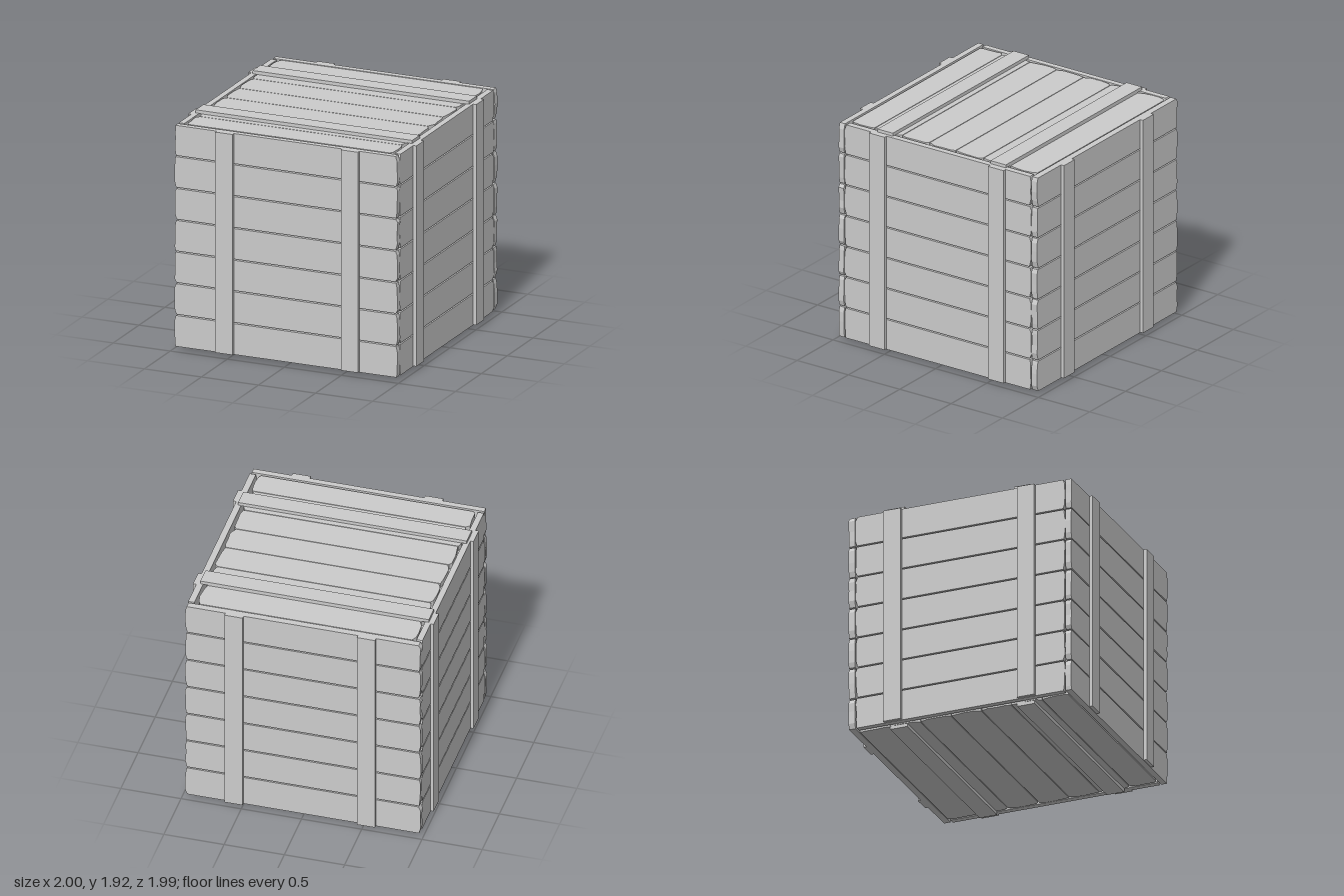
import * as THREE from 'three';

const material = new THREE.MeshStandardMaterial({ color: 0xcccccc, flatShading: true });

// Small seeded generator for the worn plank ends
let seed = 11;
function rand() {
  seed = (seed * 16807) % 2147483647;
  return seed / 2147483647;
}

// Plank lying in the XY plane with ragged ends, thickness along z
function plank(u0, u1, v0, v1, w0, w1, wear) {
  const h = v1 - v0;
  const stops = [0, 0.12 + 0.15 * rand(), 0.45 + 0.15 * rand(), 0.8 + 0.1 * rand(), 1];
  const cut = (i) => wear * (i === 0 || i === 4 ? 0.5 + 0.5 * rand() : 0.45 * rand());
  const pts = [];
  stops.forEach((t, i) => pts.push(new THREE.Vector2(u1 - cut(i), v0 + h * t)));
  for (let i = 4; i >= 0; i--) pts.push(new THREE.Vector2(u0 + cut(i), v0 + h * stops[i]));
  const geo = new THREE.ExtrudeGeometry(new THREE.Shape(pts), { depth: w1 - w0, bevelEnabled: false });
  geo.translate(0, 0, w0);
  return new THREE.Mesh(geo, material);
}

// Box given by its limits
function bar(u0, u1, v0, v1, w0, w1) {
  const geo = new THREE.BoxGeometry(u1 - u0, v1 - v0, w1 - w0);
  geo.translate((u0 + u1) / 2, (v0 + v1) / 2, (w0 + w1) / 2);
  return new THREE.Mesh(geo, material);
}

// Row of planks between the listed seams, plus two battens on the outer face
function panel(name, { u, seams, w, gap, wear, battens }) {
  const group = new THREE.Group();
  group.name = name;
  for (let i = 0; i < seams.length - 1; i++) {
    const lo = seams[i] + (i > 0 ? gap / 2 : 0);
    const hi = seams[i + 1] - (i < seams.length - 2 ? gap / 2 : 0);
    const p = plank(u[0], u[1], lo, hi, w[0], w[1], wear);
    p.name = name + 'Plank' + (i + 1);
    group.add(p);
  }
  battens.forEach((b, i) => {
    const m = bar(...b, w[1], w[2]);
    m.name = name + 'Batten' + (i + 1);
    group.add(m);
  });
  return group;
}

export function createModel() {
  const crate = new THREE.Group();
  crate.name = 'crate';

  const wallSeams = [0.033, 0.298, 0.565, 0.83, 1.097, 1.365, 1.632, 1.89];
  const wall = (name, u, w, spans) => panel(name, {
    u, w, seams: wallSeams, gap: 0.011, wear: 0.02,
    battens: spans.map(([a, b]) => [a, b, 0.037, 1.89]),
  });

  // Four walls
  const front = wall('front', [-0.982, 0.977], [0.912, 0.962, 0.99], [[-0.61, -0.46], [0.49, 0.64]]);
  const back = wall('back', [-0.977, 0.982], [0.915, 0.97, 0.998], [[-0.64, -0.49], [0.46, 0.61]]);
  back.rotation.y = Math.PI;
  const left = wall('left', [-0.91, 0.912], [0.918, 0.97, 0.998], [[-0.65, -0.50], [0.51, 0.66]]);
  left.rotation.y = Math.PI / 2;
  const right = wall('right', [-0.912, 0.91], [0.925, 0.974, 1.0], [[-0.66, -0.51], [0.50, 0.65]]);
  right.rotation.y = -Math.PI / 2;

  // Lid, set between the walls with its battens lying on top
  const top = panel('top', {
    u: [-0.918, 0.903], seams: [-0.893, -0.672, -0.408, -0.147, 0.115, 0.382, 0.645, 0.905],
    w: [1.84, 1.888, 1.916], gap: 0.006, wear: 0.034,
    battens: [[-0.955, 0.942, -0.607, -0.458], [-0.955, 0.942, 0.493, 0.643]],
  });
  top.rotation.x = -Math.PI / 2;

  // Floor, facing down
  const bottom = panel('bottom', {
    u: [-0.918, 0.908], seams: [-0.905, -0.645, -0.382, -0.115, 0.147, 0.408, 0.672, 0.905],
    w: [-0.08, -0.028, 0], gap: 0.006, wear: 0.034,
    battens: [[-0.91, 0.91, -0.64, -0.49], [-0.91, 0.91, 0.465, 0.615]],
  });
  bottom.rotation.x = Math.PI / 2;

  crate.add(front, back, left, right, top, bottom);
  return crate;
}
